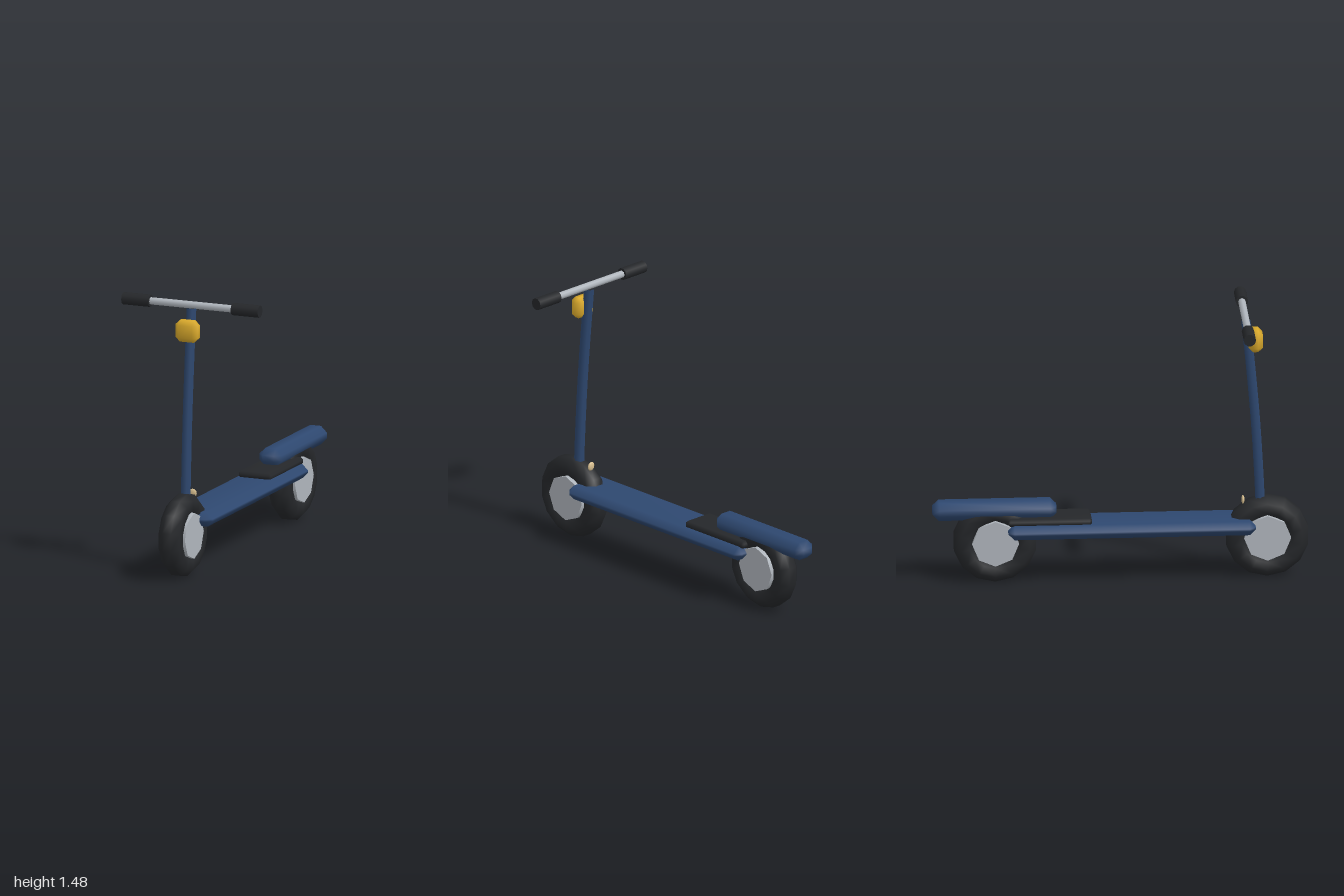
import * as THREE from 'three';
import { mergeVertices } from 'three/addons/utils/BufferGeometryUtils.js';
import { ConvexGeometry } from 'three/addons/geometries/ConvexGeometry.js';

const mat = (color) => new THREE.MeshStandardMaterial({ color });
const blue = mat(0x2e4870);
const black = mat(0x25272a);
const silver = mat(0xb0b6bd);
const yellow = mat(0xd9a92b);
const tan = mat(0xd8bf90);

// Box with a single chamfer on every edge and softened normals
function chamferBox(w, h, d, c) {
  const points = [];
  for (const x of [-w / 2, w / 2]) for (const y of [-h / 2, h / 2]) for (const z of [-d / 2, d / 2]) {
    const ix = x - Math.sign(x) * c, iy = y - Math.sign(y) * c, iz = z - Math.sign(z) * c;
    points.push(new THREE.Vector3(x, iy, iz), new THREE.Vector3(ix, y, iz), new THREE.Vector3(ix, iy, z));
  }
  let geometry = new ConvexGeometry(points);
  geometry.deleteAttribute('normal');
  geometry = mergeVertices(geometry, 1e-5);
  geometry.computeVertexNormals();
  return geometry;
}

export function createModel() {
  const model = new THREE.Group();
  model.name = 'kickScooter';

  const add = (name, geometry, material, x = 0, y = 0, z = 0, parent = model) => {
    const mesh = new THREE.Mesh(geometry, material);
    mesh.name = name;
    mesh.position.set(x, y, z);
    parent.add(mesh);
    return mesh;
  };

  // Wheels: fat tyre with an octagonal section, and an eight-sided hub
  const section = [];
  for (let i = 0; i <= 8; i++) {
    const a = Math.PI + (i + 0.5) * Math.PI / 4;
    section.push(new THREE.Vector2(0.163 + 0.065 * Math.cos(a), 0.065 * Math.sin(a)));
  }
  const tyre = new THREE.LatheGeometry(section, 14).rotateX(-Math.PI / 2).rotateY(Math.PI / 2);
  const hub = new THREE.CylinderGeometry(0.125, 0.125, 0.132, 8).rotateX(-Math.PI / 2).rotateY(Math.PI / 2);
  for (const [name, z] of [['frontWheel', 0.78], ['rearWheel', -0.667]]) {
    const wheel = new THREE.Group();
    wheel.name = name;
    wheel.position.set(0, 0.225, z);
    add('tyre', tyre, black, 0, 0, 0, wheel);
    add('hub', hub, silver, 0, 0, 0, wheel);
    model.add(wheel);
  }

  // Deck, rear foot pad and long rear fender
  add('deck', chamferBox(0.262, 0.076, 1.315, 0.032), blue, 0, 0.295, 0.057);
  add('footPad', chamferBox(0.188, 0.04, 0.445, 0.012), black, 0, 0.345, -0.378);
  add('rearFender', chamferBox(0.13, 0.1, 0.66, 0.034), blue, 0, 0.401, -0.67);

  // Slightly bent hexagonal steering post
  const path = new THREE.CatmullRomCurve3([[0.36, 0.745], [0.5, 0.74], [0.85, 0.72], [1.15, 0.695], [1.435, 0.667]]
    .map(([y, z]) => new THREE.Vector3(0, y, z)));
  add('steeringPost', new THREE.TubeGeometry(path, 12, 0.028, 6), blue);

  // Handlebar with a grip at each end
  const barY = 1.452, barZ = 0.663;
  add('handlebar', new THREE.CylinderGeometry(0.02, 0.02, 0.7, 8).rotateZ(Math.PI / 2), silver, 0, barY, barZ);
  const grip = new THREE.CylinderGeometry(0.033, 0.033, 0.157, 10).rotateZ(Math.PI / 2);
  add('leftGrip', grip, black, 0.317, barY, barZ);
  add('rightGrip', grip, black, -0.317, barY, barZ);

  // Headlamp on the post, and a small reflector behind the front wheel
  add('headlamp', chamferBox(0.132, 0.118, 0.078, 0.026), yellow, 0, 1.322, 0.718);
  const reflector = add('reflector', new THREE.SphereGeometry(0.024, 8, 6), tan, 0, 0.425, 0.652);
  reflector.scale.z = 0.35;

  return model;
}
